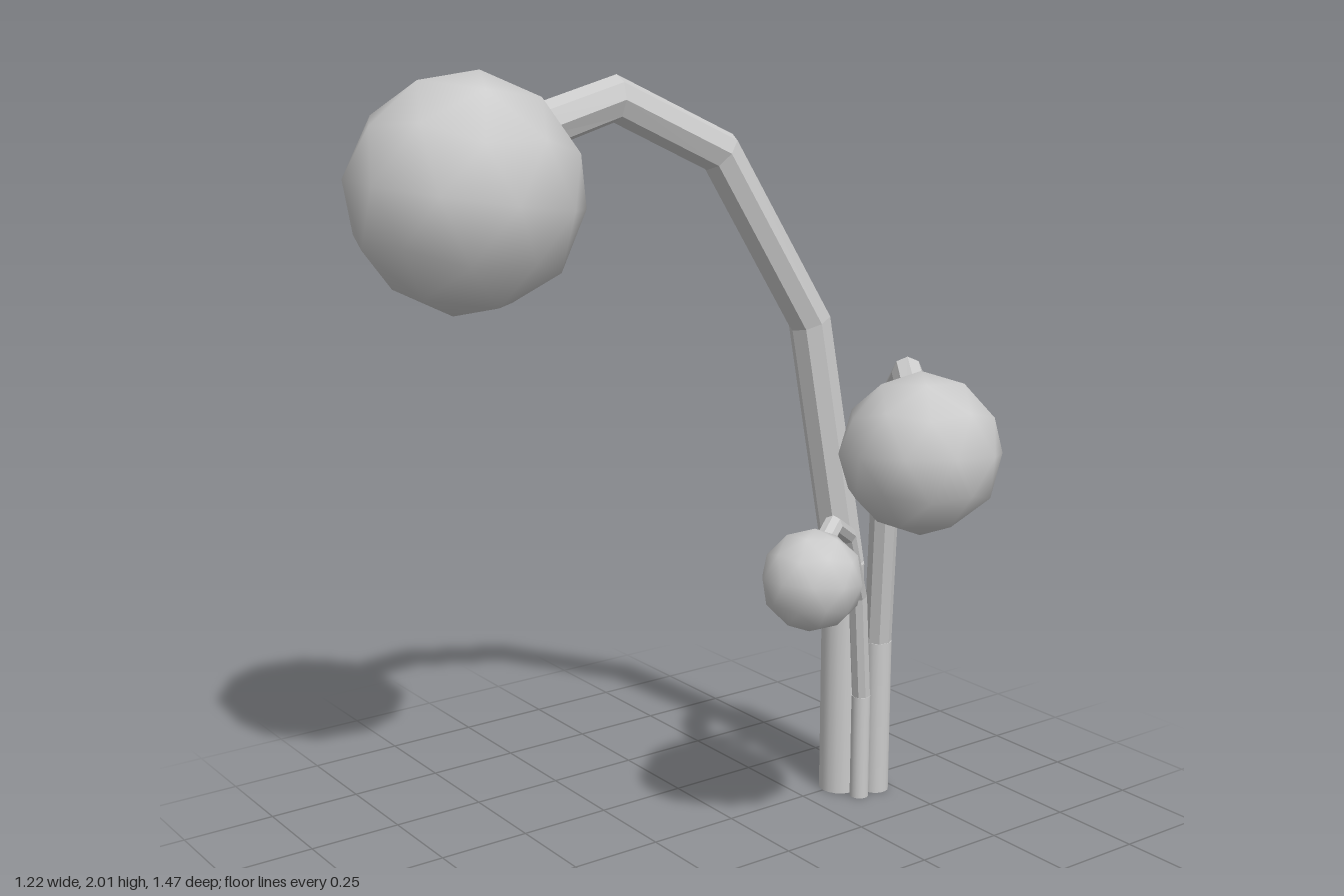
import * as THREE from 'three';

const grey = new THREE.MeshStandardMaterial({ color: 0xcccccc });
const faceted = new THREE.MeshStandardMaterial({ color: 0xcccccc, flatShading: true });

function addMesh(group, name, geometry, material) {
  const mesh = new THREE.Mesh(geometry, material);
  mesh.name = name;
  group.add(mesh);
  return mesh;
}

// Bent arm profile as [forward, up], from the top of the post into the globe
const armProfile = [[0, 0.66], [0.123, 1.34], [0.4, 1.79], [0.694, 1.93], [1.0, 1.84]];

function armGeometry() {
  const curve = new THREE.CatmullRomCurve3(armProfile.map(([z, y]) => new THREE.Vector3(0, y, z)));
  // Place the rings exactly on the profile points so the bends stay angular
  curve.getPointAt = (t, target) => curve.getPoint(t, target);
  curve.getTangentAt = (t, target) => curve.getTangent(t, target);
  return new THREE.TubeGeometry(curve, armProfile.length - 1, 0.057, 8, false);
}

// One drooping stalk: round post, eight-sided arm and a globe at its tip
function createStalk(name, scale, x, z, heading) {
  const stalk = new THREE.Group();
  stalk.name = name;
  addMesh(stalk, 'post', new THREE.CylinderGeometry(0.058, 0.058, 0.66, 16).translate(0, 0.33, 0), grey);
  addMesh(stalk, 'arm', armGeometry(), faceted);
  const globe = addMesh(stalk, 'globe', new THREE.IcosahedronGeometry(0.285, 1), grey);
  globe.rotation.set(0.4, Math.PI / 2, 0);
  globe.position.set(0, 1.725, 1.09);
  stalk.scale.setScalar(scale);
  stalk.position.set(x, 0, z);
  stalk.rotation.y = heading;
  return stalk;
}

export function createModel() {
  const model = new THREE.Group();
  model.name = 'globeStalks';
  model.add(
    createStalk('largeStalk', 1, -0.248, -0.63, -0.084),
    createStalk('mediumStalk', 0.667, -0.178, -0.7, 0.968),
    createStalk('smallStalk', 0.45, -0.165, -0.632, 0.595),
  );
  return model;
}
